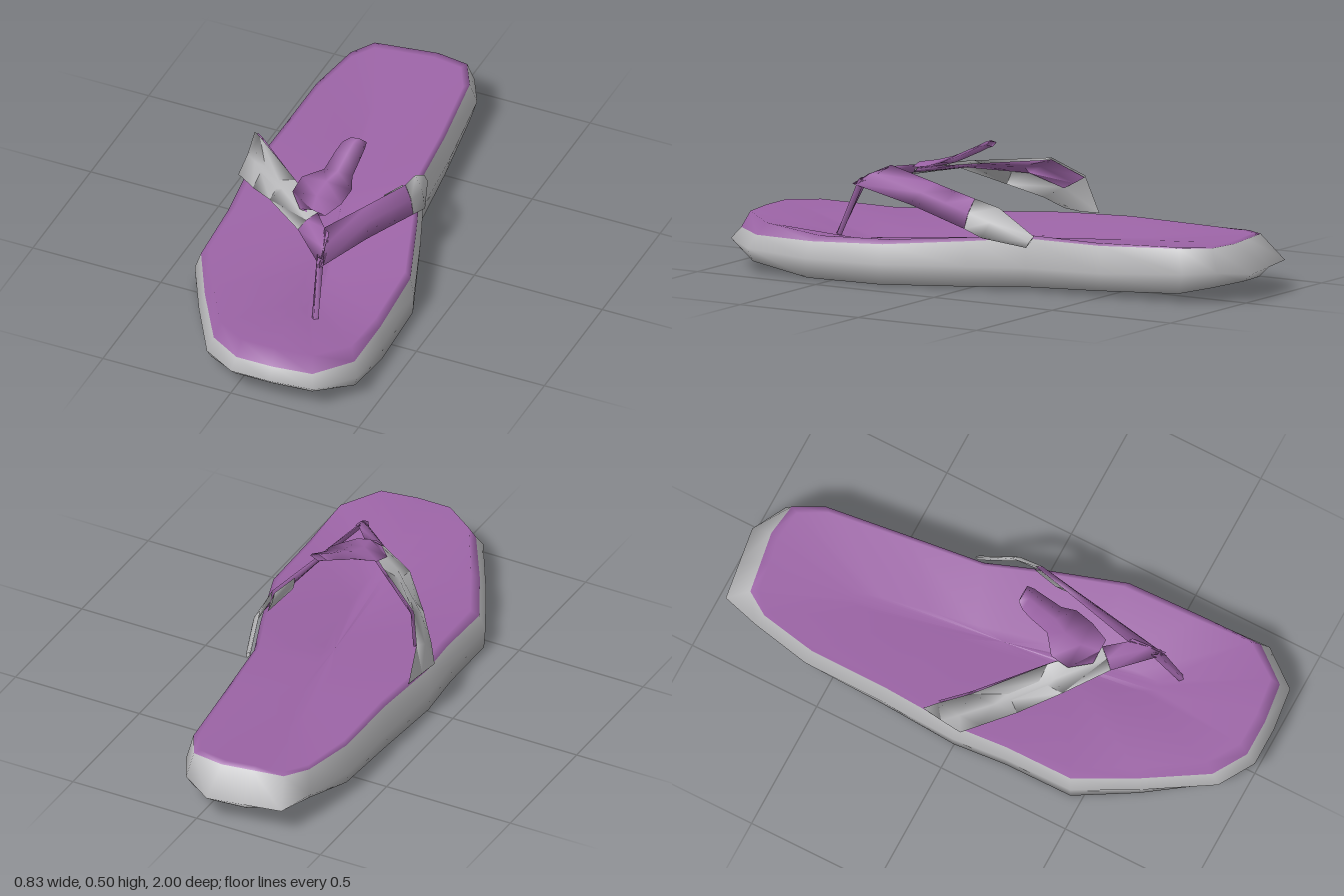
import * as THREE from 'three';

const purple = new THREE.MeshStandardMaterial({ color: 0x9c64a6, side: THREE.DoubleSide });
purple.name = 'purple';
const grey = new THREE.MeshStandardMaterial({ color: 0xb8b8ba, side: THREE.DoubleSide });
grey.name = 'grey';

// Piecewise linear lookup through [z, value] pairs, rising in z
function along(pairs, z) {
  if (z <= pairs[0][0]) return pairs[0][1];
  for (let i = 1; i < pairs.length; i++) {
    const [z0, v0] = pairs[i - 1], [z1, v1] = pairs[i];
    if (z <= z1) return v0 + (v1 - v0) * (z - z0) / (z1 - z0);
  }
  return pairs[pairs.length - 1][1];
}

// Skins closed rings of equal length; colourOf(ringIndex) picks the material slot
function loftRings(rings, colourOf) {
  const n = rings[0].length, index = [];
  const geo = new THREE.BufferGeometry();
  for (let k = 0; k < rings.length - 1; k++) {
    geo.addGroup(index.length, n * 6, colourOf(k));
    for (let i = 0; i < n; i++) {
      const j = (i + 1) % n;
      const a = k * n + i, b = k * n + j, c = b + n, d = a + n;
      index.push(a, d, c, a, c, b);
    }
  }
  geo.setAttribute('position', new THREE.Float32BufferAttribute(rings.flat(2), 3));
  geo.setIndex(index);
  geo.computeVertexNormals();
  return geo;
}

// Sole: rings run from under the foot, round the wall, to the middle of the footbed
function makeSole() {
  const outline = [
    [-0.04, -1], [0.08, -0.93], [0.14, -0.82], [0.18, -0.5], [0.21, -0.2], [0.29, 0],
    [0.40, 0.3], [0.415, 0.6], [0.42, 0.84], [0.31, 0.98], [0.15, 1], [0, 1], [-0.13, 0.92],
    [-0.27, 0.68], [-0.385, 0.46], [-0.39, 0.2], [-0.41, 0], [-0.40, -0.3], [-0.40, -0.6],
    [-0.36, -0.82], [-0.32, -0.96], [-0.18, -0.98],
  ];
  const spine = [[-0.5, -0.13], [0.5, 0.09]];
  const under = [[-1, 0.07], [-0.8, 0.03], [0, 0.01], [0.58, 0.002], [0.8, 0.035], [1, 0.075]];
  const wall = [[-1, 0.1], [-0.9, 0.12], [-0.7, 0.09], [0.6, 0.075], [1, 0.1]];
  const colourLine = [[-0.9, 0.2], [-0.5, 0.185], [-0.2, 0.19], [0.1, 0.165], [0.5, 0.135], [1, 0.14]];
  const rim = [[-0.9, 0.2], [-0.5, 0.192], [-0.2, 0.2], [0, 0.185], [0.3, 0.165], [0.6, 0.155], [1, 0.2]];
  const bed = [[-0.9, 0.185], [-0.5, 0.17], [-0.2, 0.16], [0.2, 0.13], [0.5, 0.1], [0.85, 0.14]];
  const ring = (scale, height) => outline.map(([x, z]) => {
    const s = along(scale, z), cz = z * 0.5, cx = along(spine, cz);
    return [cx + (x - cx) * s, along(height, z), cz + (z - cz) * s];
  });
  // Rings whose height follows their own position
  const inner = (s, height) => ring([[0, s]], height).map(([x, , z]) => [x, along(height, z), z]);
  const hub = (height) => outline.map(() => [along(spine, 0), along(height, 0), 0]);
  // The underside lifts a little towards one heel corner
  const lift = ([x, y, z]) => [x, y + 1.2 * Math.max(0, -x - 0.2) * Math.max(0, -z - 0.55), z];
  const rings = [
    hub(under), inner(0.12, under),
    ring([[-1, 0.92], [0, 0.98], [0.5, 0.99], [1, 0.95]], under).map(lift),
    ring([[0, 1]], wall),
    ring([[-0.96, 0.83], [-0.93, 0.93], [0, 0.96], [0.7, 0.95], [1, 0.93]], colourLine),
    ring([[-0.96, 0.77], [-0.93, 0.87], [0, 0.9], [1, 0.87]], rim),
    inner(0.12, bed), hub(bed),
  ];
  const sole = new THREE.Mesh(loftRings(rings, (k) => (k < 4 ? 0 : 1)), [grey, purple]);
  sole.name = 'sole';
  return sole;
}

// Flat band between two matching edges, padded by a half thickness and shifted along its normal
function makeBand(name, edgeA, edgeB, pad, material, shift = 0) {
  const rings = edgeA.map((p, i) => {
    const a = new THREE.Vector3(...p), b = new THREE.Vector3(...edgeB[i]);
    const q = Math.min(i + 1, edgeA.length - 1), r = Math.max(i - 1, 0);
    const run = new THREE.Vector3(...edgeA[q]).sub(new THREE.Vector3(...edgeA[r]));
    const normal = run.cross(b.clone().sub(a)).normalize();
    const mid = a.clone().add(b).multiplyScalar(0.5);
    const high = mid.clone().addScaledVector(normal, pad), low = mid.clone().addScaledVector(normal, -pad);
    return [a, high, b, low].map((v) => v.addScaledVector(normal, shift).toArray());
  });
  const mesh = new THREE.Mesh(loftRings(rings, () => 0), [material]);
  mesh.name = name;
  return mesh;
}

const between = (edgeA, edgeB) => edgeA.map((p, i) => p.map((v, k) => (v + edgeB[i][k]) / 2));

export function createModel() {
  const model = new THREE.Group();
  model.name = 'sandal';
  model.add(makeSole());

  // Strap fanning up from the -x side of the sole
  const rightOuter = [[-0.41, 0.19, 0.03], [-0.365, 0.23, 0.09], [-0.28, 0.28, 0.19], [-0.16, 0.345, 0.31], [0, 0.335, 0.42]];
  const rightInner = [[-0.39, 0.19, -0.13], [-0.39, 0.32, -0.07], [-0.325, 0.385, 0.03], [-0.1, 0.39, 0.22], [0.05, 0.385, 0.36]];
  model.add(makeBand('rightStrap', rightOuter, rightInner, 0.005, grey));
  model.add(makeBand('strapJoint',
    [rightOuter[4], [0.14, 0.31, 0.55], [0.16, 0.31, 0.56]],
    [rightInner[4], [0.11, 0.38, 0.43], [0.13, 0.375, 0.44]], 0.01, purple));

  // Lining on the hidden side of that strap, along its upper half
  model.add(makeBand('rightStrapLining',
    between(rightOuter, rightInner).slice(1), rightInner.slice(1), 0.002, purple, -0.012));

  // Strap on the +x side, with its anchored end and part of its lining in the sole colour
  const leftOuter = [[0.15, 0.31, 0.57], [0.21, 0.27, 0.29], [0.24, 0.243, 0.155], [0.27, 0.215, 0.02]];
  const leftInner = [[0.11, 0.385, 0.43], [0.175, 0.35, 0.2], [0.2025, 0.335, 0.1], [0.23, 0.32, 0]];
  model.add(makeBand('leftStrap', leftOuter, leftInner, 0.008, purple));
  model.add(makeBand('leftStrapLining', leftOuter.slice(2), leftInner.slice(2), 0.003, grey, -0.012));
  model.add(makeBand('leftStrapEnd',
    [leftOuter[3], [0.28, 0.19, -0.06], [0.22, 0.16, -0.21]],
    [leftInner[3], [0.225, 0.295, -0.1], [0.2, 0.2, -0.23]], 0.008, grey));

  // Thong post between the toes
  model.add(makeBand('toePost',
    [[0.155, 0.33, 0.54], [0.175, 0.08, 0.64]],
    [[0.12, 0.33, 0.52], [0.15, 0.08, 0.64]], 0.012, purple));

  // Bow resting on the straps, flat at first and then tilting up past a narrow waist
  const bow = [
    [0.36, 0.38, -0.02, 0.08], [0.29, 0.392, -0.08, 0.11], [0.22, 0.412, -0.075, 0.12],
    [0.17, 0.432, -0.01, 0.1], [0.1, 0.464, 0, 0.1], [0.06, 0.484, 0.01, 0.1], [0.035, 0.492, 0.03, 0.095],
  ];
  model.add(makeBand('bow', bow.map(([z, y, x]) => [x, y, z]),
    bow.map(([z, y, , x]) => [x, y, z]), 0.012, purple));

  return model;
}
